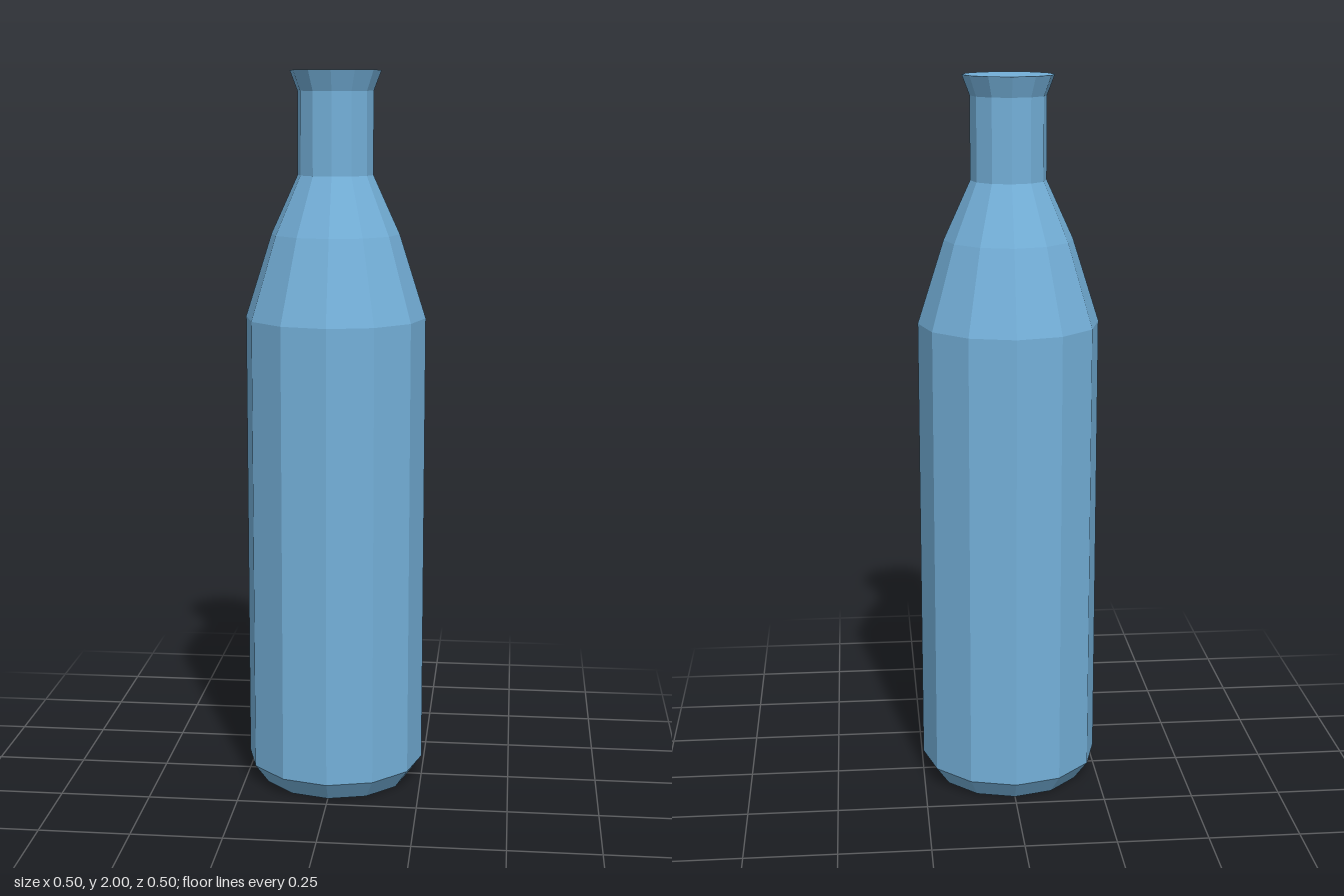
import * as THREE from 'three';

const SIDES = 12;

export function createModel() {
  const group = new THREE.Group();
  group.name = 'bottle';

  const blueGlass = new THREE.MeshStandardMaterial({ color: 0x74b0d9, flatShading: true });
  blueGlass.name = 'blueGlass';

  // Turned section from [radius, height] points, listed bottom to top
  const addSection = (name, profile) => {
    const points = profile.map(([r, y]) => new THREE.Vector2(r, y));
    const mesh = new THREE.Mesh(new THREE.LatheGeometry(points, SIDES), blueGlass);
    mesh.name = name;
    group.add(mesh);
  };

  // Flat base with a bevelled foot
  addSection('base', [[0, 0], [0.21, 0], [0.25, 0.055]]);
  // Straight body
  addSection('body', [[0.25, 0.055], [0.25, 1.33]]);
  // Shoulder tapering in two steps
  addSection('shoulder', [[0.25, 1.33], [0.177, 1.56], [0.104, 1.72]]);
  // Straight neck
  addSection('neck', [[0.104, 1.72], [0.104, 1.945]]);
  // Flared lip, closed on top
  addSection('lip', [[0.104, 1.945], [0.125, 2], [0, 2]]);

  return group;
}
